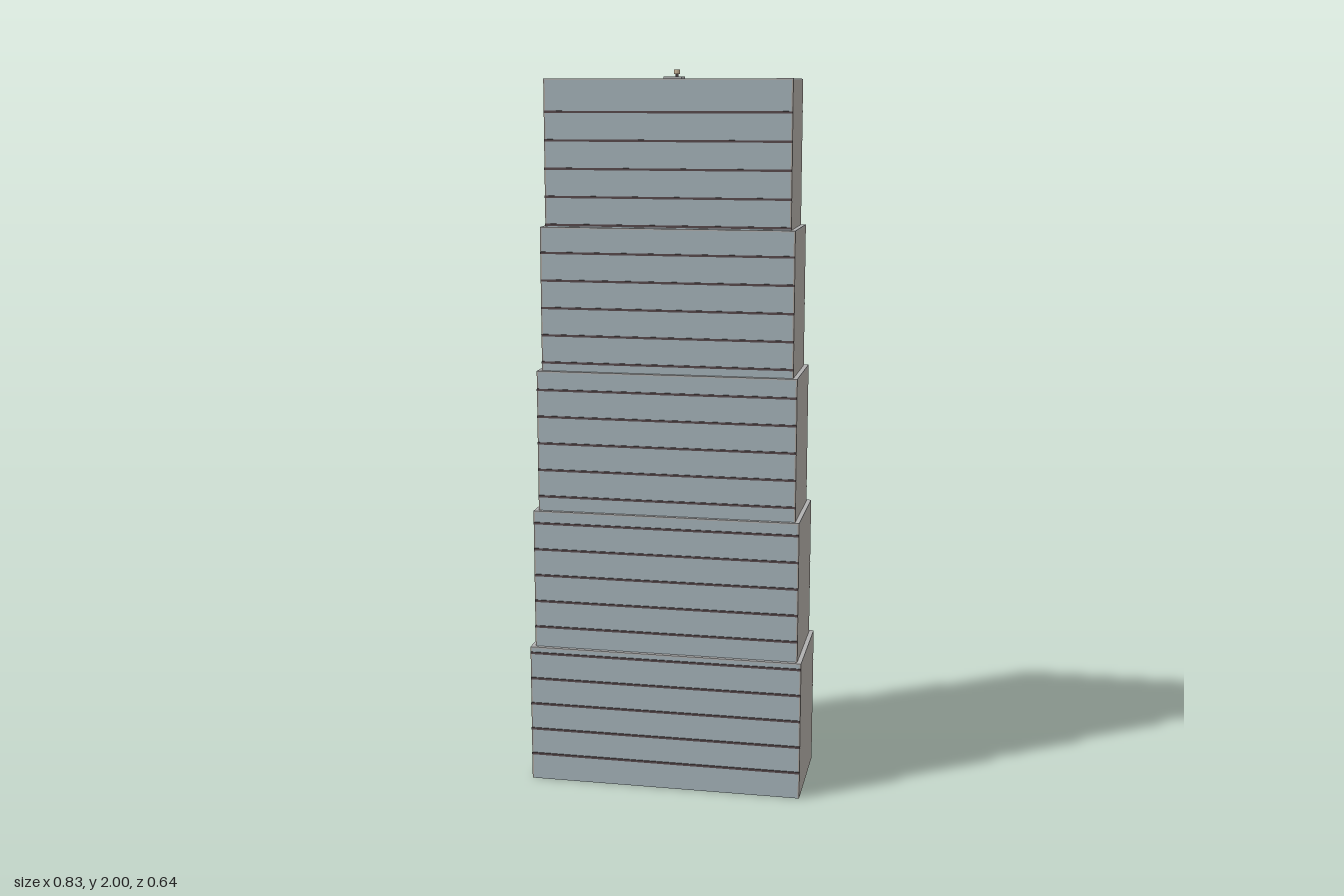
import * as THREE from 'three';

const paint = (color) => new THREE.MeshStandardMaterial({ color });
const glass = paint(0xa5b3ba);
const concrete = paint(0xaca6a0);
const roofGrey = paint(0xb0b0b0);
const dark = paint(0x574a4c);
const tan = paint(0xccb79a);

function box(parent, name, size, position, material) {
  const mesh = new THREE.Mesh(new THREE.BoxGeometry(...size), material);
  mesh.name = name;
  mesh.position.set(...position);
  parent.add(mesh);
  return mesh;
}

export function createModel() {
  const model = new THREE.Group();
  model.name = 'tower';

  // The whole tower stands turned on its plot
  const tower = new THREE.Group();
  tower.name = 'steppedTower';
  tower.rotation.y = -0.505;
  model.add(tower);

  const tiers = 5;
  const tierHeight = 0.395;
  const floorHeight = 0.0755;
  const sizeOf = (i) => [0.772 - 0.0245 * i, 0.304 - 0.0235 * i];

  for (let i = 0; i < tiers; i++) {
    const [length, depth] = sizeOf(i);
    const base = i * tierHeight;
    const tier = new THREE.Group();
    tier.name = `tier${i + 1}`;
    tower.add(tier);

    // Glazed body, solid end walls and roof slab
    const wall = 0.004;
    const slab = 0.004;
    const mid = base + (tierHeight - slab) / 2;
    box(tier, 'glazedBody', [length - 2 * wall, tierHeight - slab, depth], [0, mid, 0], glass);
    for (const side of [-1, 1]) {
      box(tier, 'endWall', [wall, tierHeight - slab, depth], [side * (length - wall) / 2, mid, 0], concrete);
    }
    box(tier, 'roofSlab', [length, slab, depth], [0, base + tierHeight - slab / 2, 0], roofGrey);

    // Floor bands along both long faces
    for (let k = 1; k <= 25; k++) {
      const y = k * floorHeight;
      if (y < base + 0.004 || y > base + tierHeight - 0.004) continue;
      for (const side of [-1, 1]) {
        box(tier, 'floorBand', [length, 0.006, 0.003], [0, y, side * (depth / 2 + 0.0015)], dark);
      }
    }

    // Column of small vents down the middle of one end
    const vents = 16;
    for (let v = 0; v < vents; v++) {
      const y = base + (v + 0.5) * tierHeight / vents;
      box(tier, 'vent', [0.004, 0.01, 0.012], [-length / 2 - 0.001, y, 0], tan);
    }
  }

  // Roof hatch
  const top = tiers * tierHeight;
  box(tower, 'roofHatch', [0.05, 0.006, 0.05], [0, top + 0.003, 0], roofGrey);

  // Small capped flue beside the hatch
  const flue = new THREE.Group();
  flue.name = 'roofFlue';
  flue.position.set(0.023, top, -0.046);
  model.add(flue);
  const post = new THREE.Mesh(new THREE.CylinderGeometry(0.004, 0.004, 0.014, 10), dark);
  post.name = 'fluePost';
  post.position.y = 0.007;
  const cap = new THREE.Mesh(new THREE.CylinderGeometry(0.0085, 0.0085, 0.012, 12), tan);
  cap.name = 'flueCap';
  cap.position.y = 0.019;
  flue.add(post, cap);

  return model;
}
